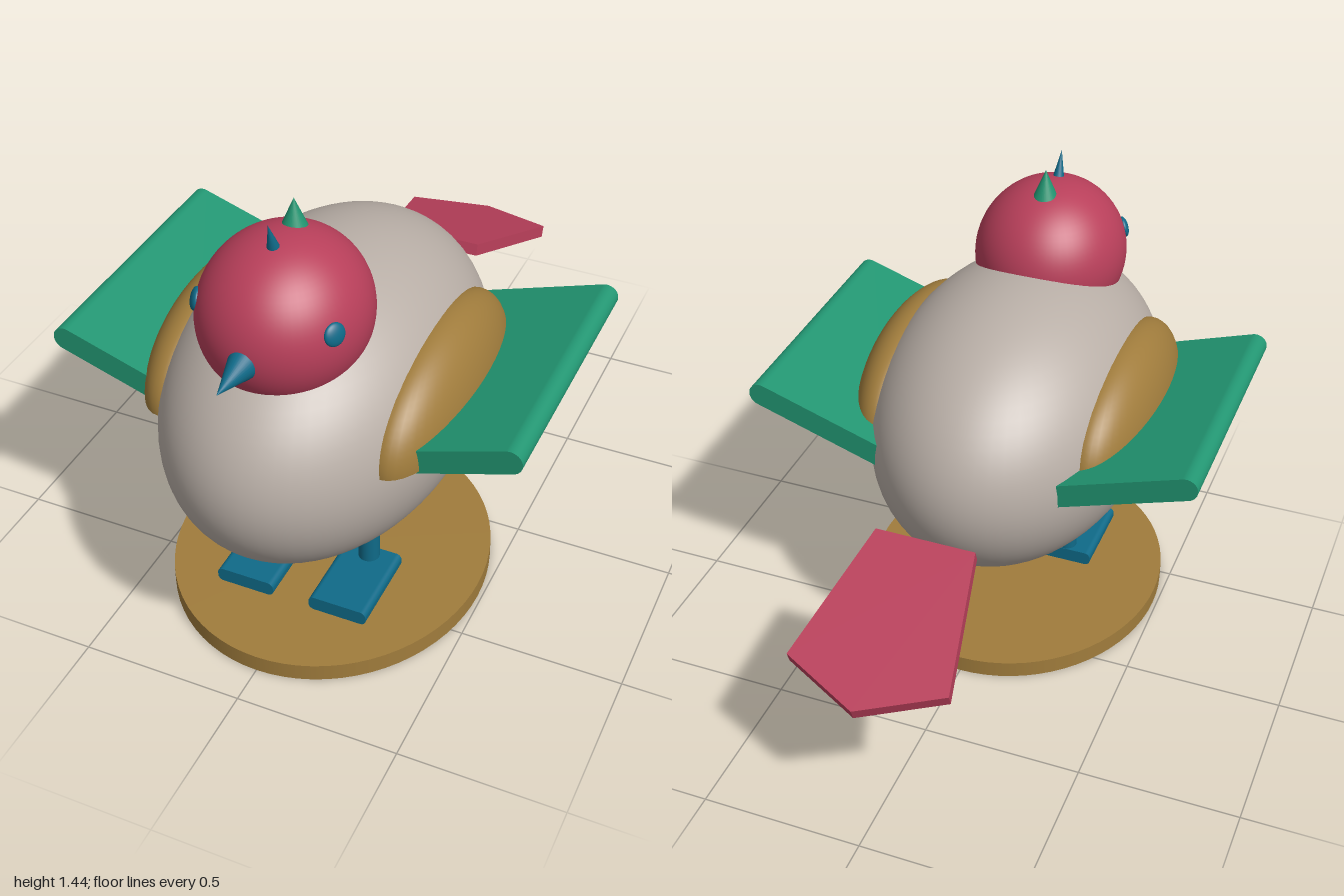
import * as THREE from 'three';

const material = (name, color) => {
  const m = new THREE.MeshStandardMaterial({ color });
  m.name = name;
  return m;
};

export function createModel() {
  const model = new THREE.Group();
  model.name = 'bird';
  const grey = material('warm grey', 0xb8aea6);
  const red = material('raspberry red', 0xb83f5a);
  const green = material('sea green', 0x229672);
  const tan = material('golden tan', 0xa07c3c);
  const blue = material('deep teal blue', 0x0f6a88);

  const add = (name, geometry, mat, x = 0, y = 0, z = 0) => {
    const mesh = new THREE.Mesh(geometry, mat);
    mesh.name = name;
    mesh.position.set(x, y, z);
    model.add(mesh);
    return mesh;
  };
  const ellipsoid = (rx, ry, rz) => new THREE.SphereGeometry(1, 64, 40).scale(rx, ry, rz);

  // Oval stand
  add('base', new THREE.CylinderGeometry(1, 1, 0.055, 72).scale(0.487, 1, 0.545), tan, 0, 0.0275, 0.335);

  // Body and head
  add('body', ellipsoid(0.44, 0.455, 0.665), grey, 0, 0.71, 0.335);
  add('head', ellipsoid(0.24, 0.24, 0.265), red, 0, 1.125, 0.605);

  // Beak points forward
  add('beak', new THREE.ConeGeometry(0.052, 0.16, 32).rotateX(Math.PI / 2).scale(0.92, 1, 1),
    blue, 0, 1.113, 0.92);

  // Crest: a broad spike and a thin one leaning forward
  add('crestSpike', new THREE.ConeGeometry(0.045, 0.105, 32), green, 0, 1.3825, 0.537);
  const thin = add('thinCrestSpike', new THREE.ConeGeometry(0.021, 0.1, 24), blue, 0, 1.388, 0.672);
  thin.rotation.x = 0.3;

  // Wing cross-section: a slab with a rounded outer end, starting inside the body
  const half = 0.037;
  const wingShape = new THREE.Shape();
  wingShape.moveTo(-0.43, -half);
  wingShape.lineTo(0, -half);
  wingShape.absarc(0, 0, half, -Math.PI / 2, Math.PI / 2, false);
  wingShape.lineTo(-0.43, half);
  wingShape.closePath();
  const wingGeometry = new THREE.ExtrudeGeometry(wingShape, { depth: 0.835, bevelEnabled: false, curveSegments: 20 })
    .translate(0, 0, -0.4175);

  // Foot cross-section: a rounded rectangle
  const w = 0.0935, h = 0.0235, r = 0.018;
  const footShape = new THREE.Shape();
  footShape.absarc(w - r, h - r, r, 0, Math.PI / 2, false);
  footShape.absarc(-w + r, h - r, r, Math.PI / 2, Math.PI, false);
  footShape.absarc(-w + r, -h + r, r, Math.PI, Math.PI * 1.5, false);
  footShape.absarc(w - r, -h + r, r, Math.PI * 1.5, Math.PI * 2, false);
  const footGeometry = new THREE.ExtrudeGeometry(footShape, { depth: 0.275, bevelEnabled: false, curveSegments: 8 });

  // Paired parts
  for (const [side, s] of [['left', 1], ['right', -1]]) {
    add(side + 'Leg', new THREE.CylinderGeometry(0.033, 0.033, 0.24, 32), blue, s * 0.153, 0.21, 0.405);
    add(side + 'Foot', footGeometry, blue, s * 0.153, 0.0875, 0.37);

    // Domed shoulder with a flat underside
    const dome = new THREE.SphereGeometry(1, 48, 20, 0, Math.PI * 2, 0, Math.PI / 2).scale(0.147, 0.248, 0.418);
    add(side + 'Shoulder', dome, tan, s * 0.34, 0.756, 0.335);
    add(side + 'ShoulderUnderside', new THREE.CircleGeometry(1, 48).rotateX(Math.PI / 2).scale(0.147, 1, 0.418),
      tan, s * 0.34, 0.756, 0.335);

    // Wing tilted upward; the right one is turned half a circle around y
    const wing = add(side + 'Wing', wingGeometry, green, s * 0.676, 0.873, 0.262);
    wing.rotation.set(0, s > 0 ? 0 : Math.PI, THREE.MathUtils.degToRad(18.5));
    wing.rotation.order = 'YXZ';

    // Flattened eye lying on the head surface
    const eye = add(side + 'Eye', ellipsoid(0.033, 0.033, 0.014), blue, s * 0.203, 1.182, 0.73);
    eye.lookAt(s * 0.203 + s * 3.52, 1.182 + 0.99, 0.73 + 1.78);
  }

  // Five-sided tail plate sloping down to the back
  const tailShape = new THREE.Shape([
    [-0.155, 0], [0.155, 0], [0.243, 0.452], [0, 0.567], [-0.243, 0.452],
  ].map(([x, y]) => new THREE.Vector2(x, y)));
  const tail = add('tail',
    new THREE.ExtrudeGeometry(tailShape, { depth: 0.038, bevelEnabled: false }).rotateX(-Math.PI / 2),
    red, 0, 0.693, -0.453);
  tail.rotation.x = THREE.MathUtils.degToRad(-20);

  return model;
}
